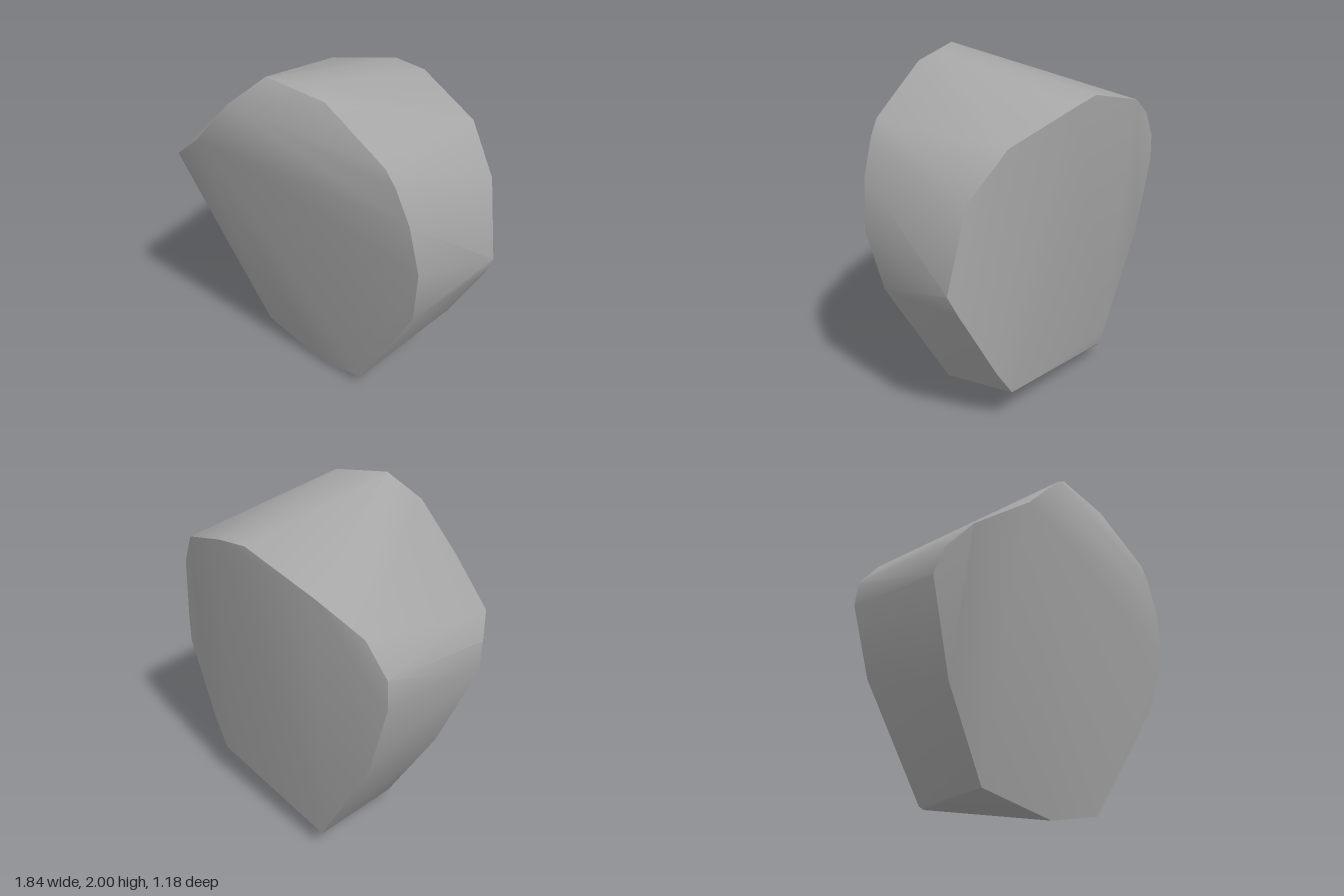
import * as THREE from 'three';
import { ConvexGeometry } from 'three/addons/geometries/ConvexGeometry.js';
import { toCreasedNormals } from 'three/addons/utils/BufferGeometryUtils.js';

// Rim of the bulging front face, clockwise from the peak
const frontRim = [
  [-0.05, 2.0, 0.42], [0.19, 1.99, 0.28], [0.3, 1.95, 0.36], [0.67, 1.71, 0.33],
  [0.73, 1.62, 0.32], [0.81, 1.43, 0.3], [0.86, 1.15, 0.27], [0.8, 0.8, 0.21],
  [0.38, 0.07, 0.14], [0.05, 0, 0.14], [-0.41, 0.1, 0.15], [-0.68, 0.59, 0.23],
  [-0.86, 1.1, 0.33], [-0.83, 1.25, 0.38], [-0.74, 1.36, 0.51],
  [-0.44, 1.58, 0.59], [-0.2, 1.85, 0.55],
];

// Rim of the flatter back face, in the same order
const backRim = [
  [-0.02, 1.83, -0.58], [0.18, 1.81, -0.59], [0.61, 1.67, -0.48], [0.82, 1.43, -0.39],
  [0.92, 0.97, -0.34], [0.87, 0.85, -0.37], [0.61, 0.4, -0.41], [0.49, 0.23, -0.42],
  [-0.41, 0.1, -0.42], [-0.43, 0.12, -0.44], [-0.46, 0.2, -0.45], [-0.8, 0.8, -0.46],
  [-0.92, 1.24, -0.47], [-0.91, 1.4, -0.47], [-0.78, 1.57, -0.49], [-0.51, 1.71, -0.56],
];

export function createModel() {
  const stone = new THREE.MeshStandardMaterial({ color: 0xa6a6a6 });
  stone.name = 'grey stone';

  // Boulder: a skin stretched over both rims, smooth except at the sharp rims
  const points = [...frontRim, ...backRim].map((p) => new THREE.Vector3(...p));
  const boulder = new THREE.Mesh(toCreasedNormals(new ConvexGeometry(points), 0.6), stone);
  boulder.name = 'boulder';

  const model = new THREE.Group();
  model.name = 'rock';
  model.add(boulder);
  return model;
}
